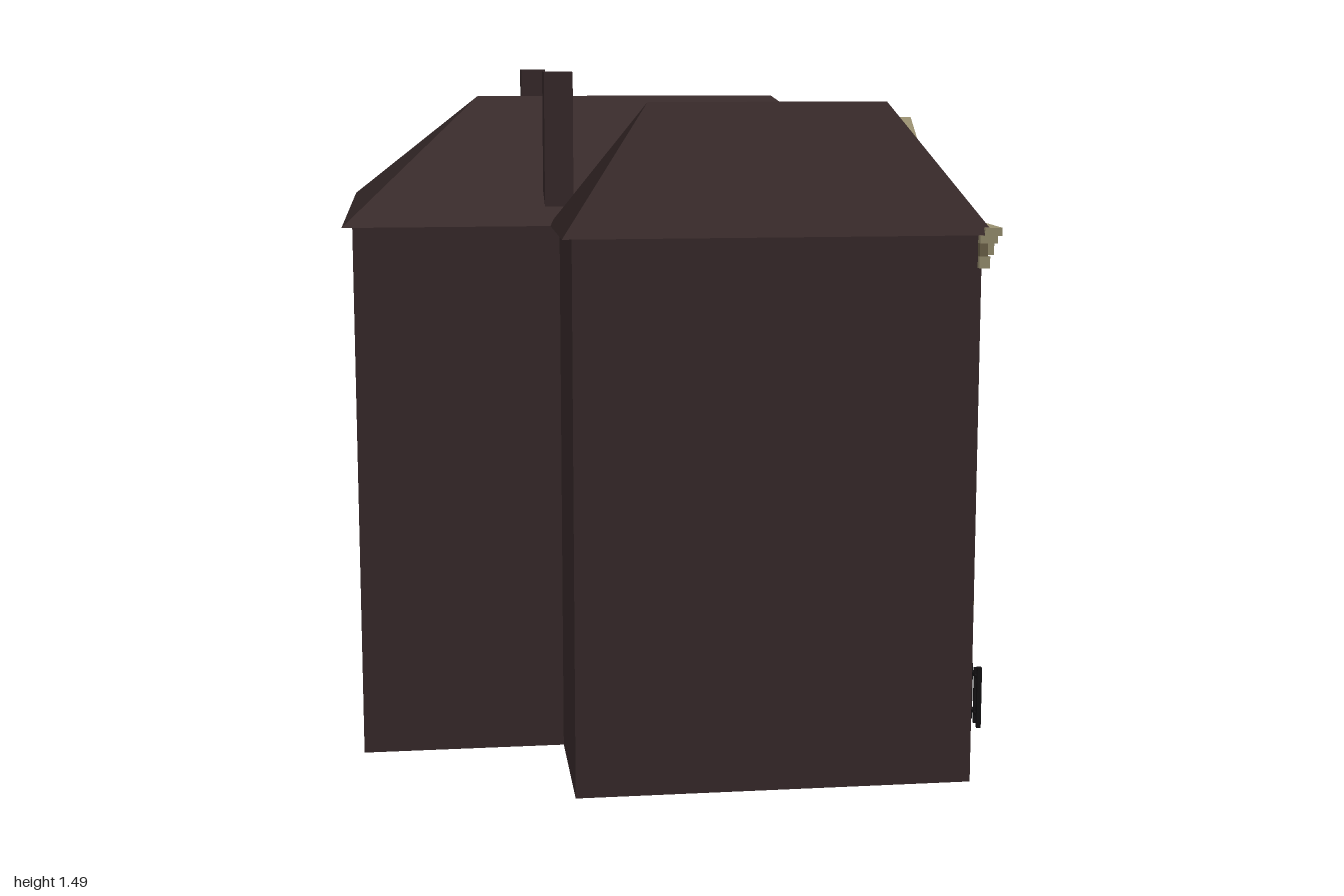
import * as THREE from 'three';
import { ConvexGeometry } from 'three/addons/geometries/ConvexGeometry.js';

const mat = (name, color) => Object.assign(new THREE.MeshStandardMaterial({ color }), { name });

export function createModel() {
  const brick = mat('darkBrick', 0x382a2b);
  const tile = mat('roofTile', 0x392b2b);
  const stone = mat('paleStone', 0x999070);
  const shade = mat('pedimentStone', 0x6e6349);
  const glass = mat('windowGlass', 0x2b2729);
  const wood = mat('doorWood', 0x2e2123);
  const iron = mat('blackIron', 0x141214);

  // Local frame: x runs along the street facade, +z points out of it
  const model = new THREE.Group();
  model.name = 'townHouse';
  const house = new THREE.Group();
  house.name = 'house';
  house.position.set(0.995, 0, 0.27);
  house.rotation.y = 2.2995;
  model.add(house);

  const add = (parent, name, geometry, material) => {
    const m = new THREE.Mesh(geometry, material);
    m.name = name;
    parent.add(m);
    return m;
  };
  // Box given by its limits on each axis
  const box = (parent, name, material, x0, x1, y0, y1, z0, z1) => {
    const m = add(parent, name, new THREE.BoxGeometry(x1 - x0, y1 - y0, z1 - z0), material);
    m.position.set((x0 + x1) / 2, (y0 + y1) / 2, (z0 + z1) / 2);
    return m;
  };
  const group = (name, x = 0, y = 0, z = 0) => {
    const g = new THREE.Group();
    g.name = name;
    g.position.set(x, y, z);
    house.add(g);
    return g;
  };
  const WALL = -0.022;
  const EAVE = 1.16;

  // Walls on an L-shaped plan
  const plan = new THREE.Shape([
    [0.022, 0.022], [1.49, 0.022], [1.49, 1.298], [0.365, 1.298], [0.365, 0.858], [0.022, 0.858],
  ].map(([x, y]) => new THREE.Vector2(x, y)));
  const walls = new THREE.ExtrudeGeometry(plan, { depth: EAVE, bevelEnabled: false });
  walls.rotateX(-Math.PI / 2);
  add(house, 'walls', walls, brick);

  // Hipped roofs
  const hip = (name, x0, x1, zBack, xr, zr0, zr1) => {
    const pts = [];
    for (const x of [x0, x1]) for (const z of [0, zBack]) {
      pts.push(new THREE.Vector3(x, EAVE, z));
    }
    for (const z of [zr0, zr1]) pts.push(new THREE.Vector3(xr, 1.425, z));
    add(house, name, new ConvexGeometry(pts), tile);
  };
  hip('mainRoof', 0.343, 1.513, -1.32, 0.929, -0.304, -1.012);
  hip('wingRoof', 0, 0.381, -0.879, 0.191, -0.185, -0.687);

  // Chimneys
  for (const x of [0.454, 1.393]) {
    box(house, 'chimney', brick, x - 0.031, x + 0.031, 1.15, 1.485, -0.885, -0.823);
  }

  // Dormers with gabled roofs, windows towards the street
  for (const x of [0.554, 1.286]) {
    const d = group('dormer', x, 0, -0.344);
    box(d, 'dormerBody', stone, -0.052, 0.052, 1.2, 1.342, -0.065, 0.065);
    box(d, 'dormerGlass', glass, -0.038, 0.038, 1.245, 1.33, 0.065, 0.067);
    box(d, 'dormerBar', stone, -0.004, 0.004, 1.245, 1.33, 0.067, 0.07);
    for (const y of [1.272, 1.3]) box(d, 'dormerBar', stone, -0.038, 0.038, y, y + 0.005, 0.067, 0.07);
    const pts = [];
    for (const s of [-1, 1]) {
      for (const w of [-1, 1]) {
        pts.push(new THREE.Vector3(w * 0.067, 1.34, s * 0.08), new THREE.Vector3(w * 0.067, 1.348, s * 0.08));
      }
      pts.push(new THREE.Vector3(0, 1.392, s * 0.07));
    }
    add(d, 'dormerRoof', new ConvexGeometry(pts), tile);
  }

  // Cornice with dentils
  const cornice = group('cornice');
  box(cornice, 'architrave', stone, 0.008, 1.486, 1.092, 1.116, -0.03, -0.008);
  box(cornice, 'frieze', shade, 0.008, 1.486, 1.116, 1.145, -0.03, -0.013);
  box(cornice, 'crownLower', stone, 0.004, 1.488, 1.143, 1.158, -0.03, 0.006);
  box(cornice, 'crown', stone, 0, 1.49, 1.158, 1.175, -0.022, 0.014);
  for (let i = 0; i < 38; i++) {
    const x = 0.016 + i * 0.0388;
    box(cornice, 'dentil', stone, x, x + 0.02, 1.118, 1.143, -0.014, 0.002);
  }

  // Pediment: raised triangular border, recessed field, oval light
  const ped = group('pediment', 0.84, 1.17, 0);
  const tri = (C, s, w, y0, h) => {
    const p = new C();
    p.moveTo(-w * s, y0);
    p.lineTo(w * s, y0);
    p.lineTo(0, h);
    p.closePath();
    return p;
  };
  const border = tri(THREE.Shape, 1, 0.295, 0, 0.204);
  border.holes.push(tri(THREE.Path, 1, 0.225, 0.02, 0.175));
  const flat = (depth) => ({ depth, bevelEnabled: false });
  const rim = add(ped, 'pedimentBorder', new THREE.ExtrudeGeometry(border, flat(0.045)), stone);
  rim.position.z = -0.022;
  const field = add(ped, 'pedimentField', new THREE.ExtrudeGeometry(tri(THREE.Shape, 1, 0.26, 0.005, 0.188), flat(0.025)), shade);
  field.position.z = -0.018;
  const disc = (name, rx, ry, z, material) => {
    const g = new THREE.CylinderGeometry(1, 1, 0.012, 20);
    g.rotateX(Math.PI / 2);
    g.scale(rx, ry, 1);
    add(ped, name, g, material).position.set(0, 0.079, z);
  };
  disc('ovalSurround', 0.042, 0.052, 0.012, stone);
  disc('ovalPanel', 0.032, 0.041, 0.015, stone);

  // Sash window with frame, glazing bars, head and sill
  const W = 0.058;
  const windowAt = (x, y0, y1, rows) => {
    const g = group('window', x, 0, WALL);
    const t = 0.016;
    const sill = y0 + 0.016;
    box(g, 'glass', glass, -W, W, sill, y1, 0, 0.003);
    for (const s of [-1, 1]) {
      const a = s * (W + 0.004);
      box(g, 'jamb', stone, a - t / 2, a + t / 2, sill, y1, 0, 0.012);
      const b = s * W / 3;
      box(g, 'glazingBar', shade, b - 0.003, b + 0.003, sill, y1, 0, 0.006);
    }
    for (let i = 1; i < rows; i++) {
      const y = sill + (y1 - t - sill) * i / rows;
      const h = i * 2 === rows ? 0.005 : 0.003;
      box(g, 'glazingBar', shade, -W, W, y - h, y + h, 0, 0.007);
    }
    box(g, 'head', stone, -W - 0.014, W + 0.014, y1 - t, y1, 0, 0.014);
    box(g, 'bottomRail', shade, -W, W, sill, sill + 0.012, 0, 0.008);
    box(g, 'sill', stone, -W - 0.023, W + 0.023, y0, sill, 0, 0.02);
  };

  // Panelled door in a stone surround
  const doorAt = (x) => {
    const g = group('door', x, 0, WALL);
    box(g, 'doorLeaf', wood, -0.05, 0.05, 0, 0.3, 0, 0.005);
    for (const s of [-1, 1]) {
      box(g, 'doorJamb', stone, s * 0.06 - 0.014, s * 0.06 + 0.014, 0, 0.345, 0, 0.016);
    }
    for (const y of [0.02, 0.115, 0.21]) box(g, 'doorPanel', brick, -0.033, 0.033, y, y + 0.075, 0, 0.009);
    box(g, 'transom', stone, -0.05, 0.05, 0.296, 0.308, 0, 0.012);
    box(g, 'fanlight', glass, -0.05, 0.05, 0.308, 0.34, 0, 0.004);
    box(g, 'doorHead', stone, -0.076, 0.076, 0.336, 0.36, 0, 0.018);
    box(g, 'doorCap', stone, -0.084, 0.084, 0.36, 0.376, 0, 0.026);
  };

  const columns = [0.196, 0.461, 0.651, 0.84, 1.03, 1.219, 1.407];
  columns.forEach((x, i) => {
    windowAt(x, 0.85, 1.056, 4);
    windowAt(x, 0.43, 0.757, 4);
    if (i === 0 || i === 4) doorAt(x);
    else windowAt(x, 0.053, 0.332, 4);
  });

  // Rainwater pipes
  for (const x of [0.36, 1.127]) {
    add(house, 'drainpipe', new THREE.CylinderGeometry(0.007, 0.007, 1.09, 8), brick).position.set(x, 0.545, WALL + 0.006);
  }

  // Area railings in front of the windows
  for (const [x0, x1] of [[0.37, 0.937], [1.11, 1.489]]) {
    const g = group('railing', 0, 0, 0.092);
    for (const y of [0.022, 0.11]) box(g, 'rail', iron, x0, x1, y, y + 0.007, -0.003, 0.003);
    const n = Math.round((x1 - x0) / 0.034);
    for (let i = 0; i <= n; i++) {
      const x = x0 + (x1 - x0) * i / n;
      const end = i === 0 || i === n;
      const r = end ? 0.005 : 0.003;
      box(g, end ? 'post' : 'bar', iron, x - r, x + r, 0, end ? 0.142 : 0.132, -r, r);
    }
  }
  return model;
}
